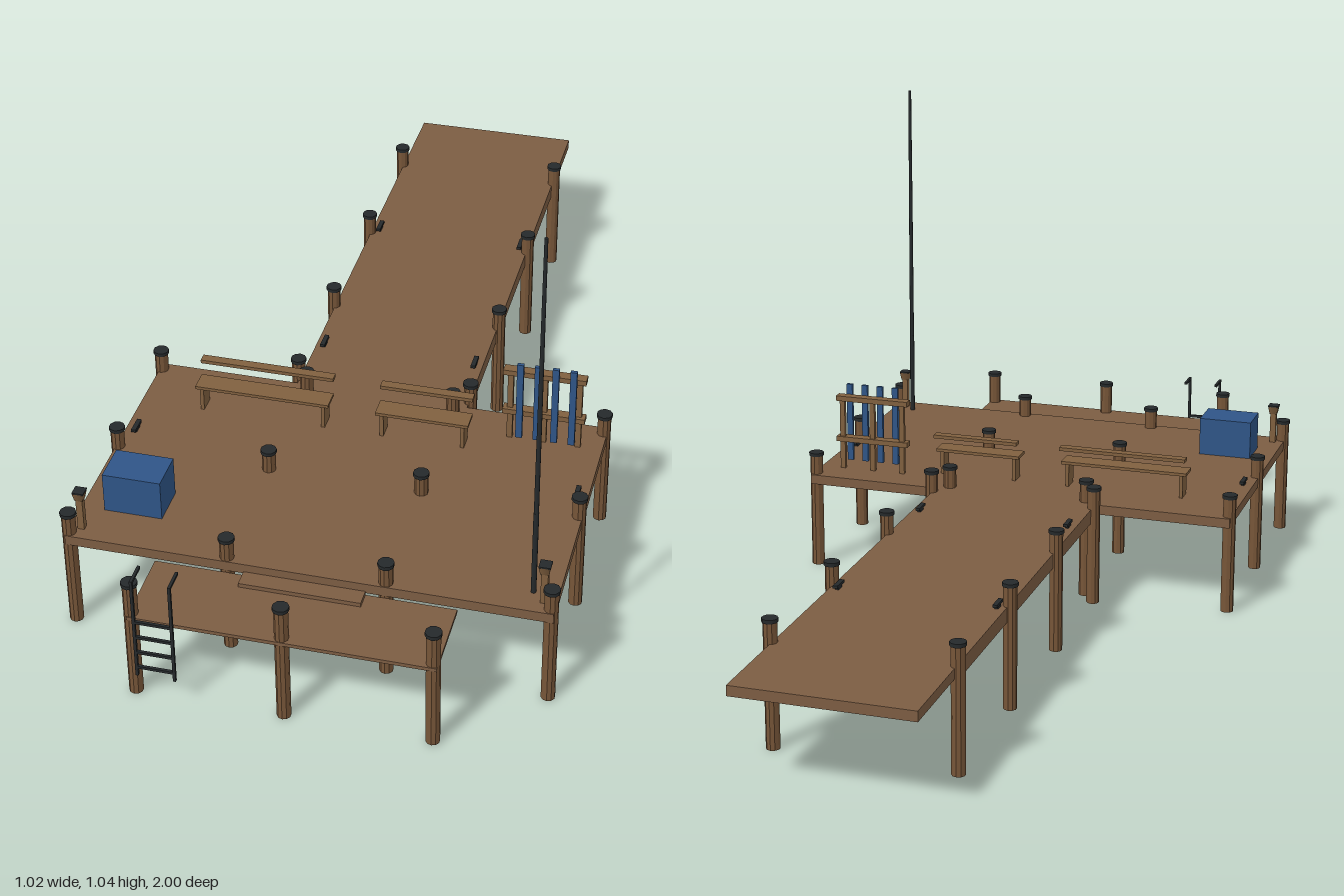
import * as THREE from 'three';

export function createModel() {
  const model = new THREE.Group();
  model.name = 'pier';
  const mat = (name, color, flatShading = false) =>
    Object.assign(new THREE.MeshStandardMaterial({ color, flatShading }), { name });
  const deckWood = mat('deckWood', 0x7c5d43);
  const pileWood = mat('pileWood', 0x765538, true);
  const trimWood = mat('trimWood', 0x80603f);
  const darkMetal = mat('darkMetal', 0x25292b);
  const blue = mat('bluePaint', 0x2f5587);

  const add = (name, geometry, material, parent = model) => {
    const mesh = new THREE.Mesh(geometry, material);
    mesh.name = name;
    parent.add(mesh);
    return mesh;
  };
  // Box given by its limits on each axis
  const box = (name, [x0, x1], [y0, y1], [z0, z1], material, parent) => {
    const mesh = add(name, new THREE.BoxGeometry(x1 - x0, y1 - y0, z1 - z0), material, parent);
    mesh.position.set((x0 + x1) / 2, (y0 + y1) / 2, (z0 + z1) / 2);
    return mesh;
  };
  // Upright cylinder standing on y0
  const post = (name, x, z, y0, y1, rTop, rBottom, sides, material, parent) => {
    const mesh = add(name, new THREE.CylinderGeometry(rTop, rBottom, y1 - y0, sides), material, parent);
    mesh.position.set(x, (y0 + y1) / 2, z);
    return mesh;
  };
  const group = (name) => {
    const g = new THREE.Group();
    g.name = name;
    model.add(g);
    return g;
  };
  const top = 0.225;

  // Decks
  box('mainDeck', [-0.5, 0.5], [0.203, top], [0.19, 0.81], deckWood);
  box('walkway', [-0.19, 0.19], [0.203, top], [-1, 0.19], deckWood);
  box('lowerPlatform', [-0.31, 0.31], [0.19, 0.198], [0.81, 0.985], deckWood);
  box('step', [-0.125, 0.125], [0.198, 0.207], [0.81, 0.847], deckWood);
  for (const s of [-1, 1]) {
    box('walkwayBeam', [s * 0.186 - 0.004, s * 0.186 + 0.004], [0.192, 0.203], [-0.78, 0.19], deckWood);
  }

  // Piles with dark caps
  const piles = group('piles');
  const spots = [[-0.305, 0.97], [0, 0.97], [0.3, 0.97]];
  for (const z of [0.21, 0.5, 0.795]) for (const x of [-0.495, -0.163, 0.163, 0.493]) spots.push([x, z]);
  for (const z of [-0.78, -0.453, -0.127, 0.168]) for (const x of [-0.193, 0.193]) spots.push([x, z]);
  for (const [x, z] of spots) {
    post('pile', x, z, 0, 0.268, 0.0145, 0.0145, 10, pileWood, piles);
    post('pileCap', x, z, 0.268, 0.276, 0.017, 0.017, 10, darkMetal, piles);
  }

  // Mooring cleats
  for (const [x, z] of [[0.172, -0.47], [0.172, 0.032], [0.477, 0.435]]) {
    for (const s of [-1, 1]) {
      const cleat = group('cleat');
      box('cleatBase', [-0.004, 0.004], [top, 0.231], [-0.01, 0.01], darkMetal, cleat);
      box('cleatBar', [-0.005, 0.005], [0.231, 0.237], [-0.02, 0.02], darkMetal, cleat);
      cleat.position.set(s * x, 0, z);
    }
  }

  // Short lamp posts at the front corners
  for (const s of [-1, 1]) {
    const lamp = group('lampPost');
    box('lampStem', [-0.007, 0.007], [top, 0.297], [-0.007, 0.007], trimWood, lamp);
    const head = post('lampHead', 0, 0, 0.297, 0.315, 0.0165, 0.012, 4, trimWood, lamp);
    head.rotation.y = Math.PI / 4;
    box('lampLid', [-0.012, 0.012], [0.315, 0.318], [-0.012, 0.012], darkMetal, lamp);
    lamp.position.set(s * 0.475, 0, 0.775);
  }

  // Benches
  for (const [x0, x1] of [[-0.375, -0.08], [0.023, 0.224]]) {
    const bench = group('bench');
    box('benchSeat', [x0, x1], [0.279, 0.286], [0.29, 0.337], trimWood, bench);
    box('benchBackRail', [x0, x1], [0.317, 0.325], [0.272, 0.293], trimWood, bench);
    for (const x of [x0 + 0.013, x1 - 0.013]) {
      box('benchLeg', [x - 0.004, x + 0.004], [top, 0.279], [0.295, 0.333], trimWood, bench);
    }
  }

  // Board rack
  const rack = group('boardRack');
  for (const x of [0.3, 0.373, 0.447]) {
    box('rackPost', [x - 0.006, x + 0.006], [top, 0.395], [0.262, 0.272], trimWood, rack);
  }
  for (const y of [0.297, 0.396]) {
    box('rackRail', [0.285, 0.461], [y - 0.006, y + 0.006], [0.258, 0.28], trimWood, rack);
  }
  for (let i = 0; i < 4; i++) {
    const x = 0.323 + i * 0.0375;
    box('rackBoard', [x - 0.007, x + 0.007], [0.24, 0.426], [0.281, 0.289], blue, rack);
  }

  // Storage box
  box('storageBox', [-0.45, -0.327], [top, 0.314], [0.625, 0.712], blue);

  // Tall mast in tapering sections
  const mast = group('mast');
  post('mastBase', 0.449, 0.752, top, 0.42, 0.0055, 0.0055, 10, darkMetal, mast);
  post('mastMiddle', 0.449, 0.752, 0.42, 0.7, 0.0045, 0.005, 10, darkMetal, mast);
  post('mastTip', 0.449, 0.752, 0.7, 1.04, 0.0035, 0.0045, 10, darkMetal, mast);

  // Ladder with handles bent back over the platform
  const ladder = group('ladder');
  for (const x of [-0.29, -0.213]) {
    box('ladderRail', [x - 0.003, x + 0.003], [0.065, 0.302], [0.994, 1], darkMetal, ladder);
    box('ladderHandle', [x - 0.003, x + 0.003], [0.296, 0.302], [0.95, 0.994], darkMetal, ladder);
  }
  for (const y of [0.086, 0.124, 0.162, 0.2]) {
    box('ladderRung', [-0.287, -0.216], [y - 0.003, y + 0.003], [0.994, 1], darkMetal, ladder);
  }

  return model;
}
